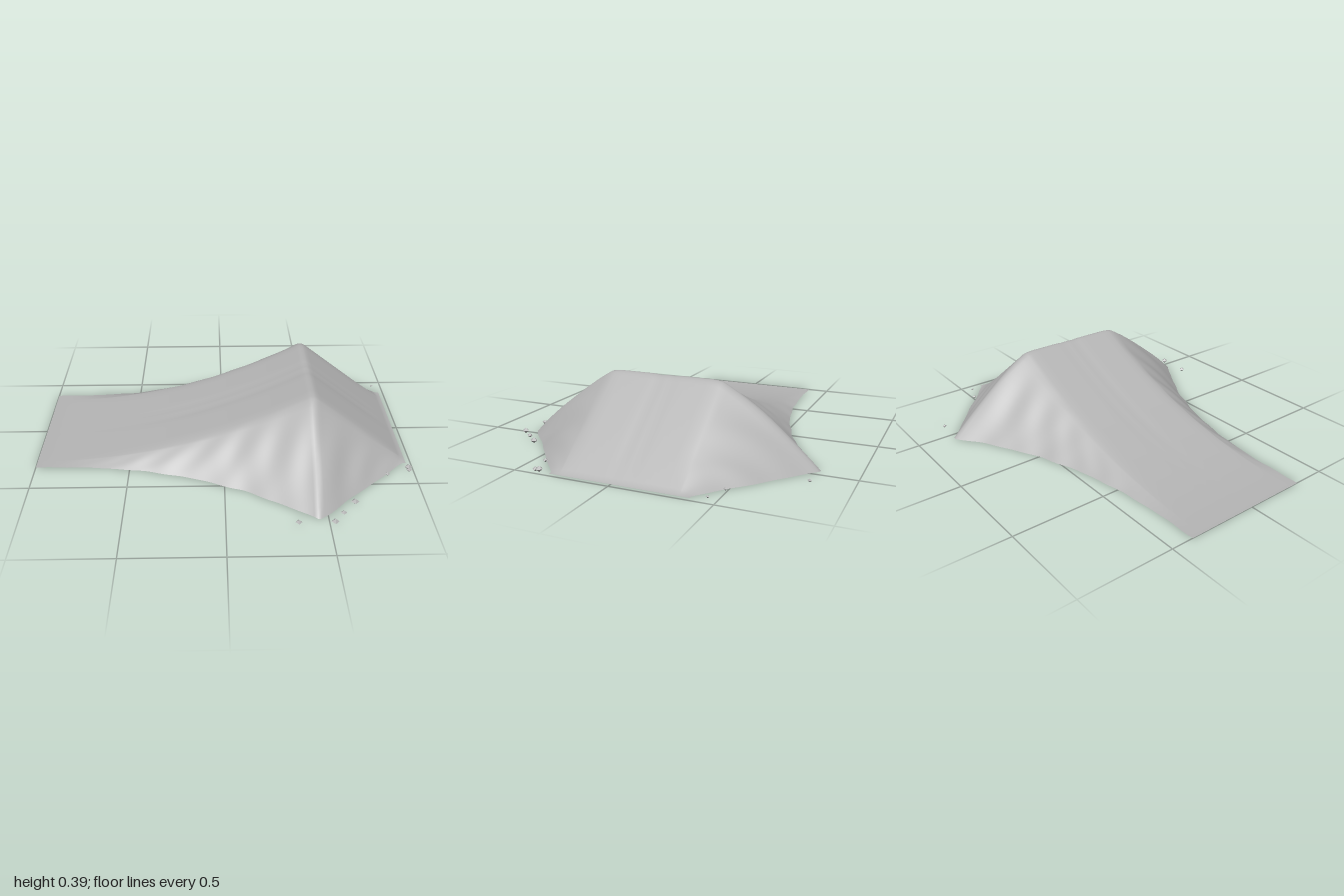
import * as THREE from 'three';

const CREST = 0.455, X0 = -1, X1 = 0.975, MID = -0.025, TOP = 0.3;

// Height along the ramp: a curved run-up, a straight landing, a softly rounded crest
function height(x) {
  const up = 0.388 * ((x + 1) / 1.45) ** 2;
  const down = 0.38 - (x - 0.48) * 0.785;
  const k = 0.03, m = Math.max(k - Math.abs(up - down), 0) / k;
  return Math.max(Math.min(up, down) - m * m * k * 0.25, 0);
}

// Half width of the footprint, widest under the crest
function baseHalf(x, side) {
  const t = x < CREST ? ((x + 1) / (CREST + 1)) ** 2.5 : Math.max((0.955 - x) / (0.955 - CREST), 0);
  const wobble = 0.003 * Math.sin(x * 37 + side) + 0.004 * Math.sin(x * 23 + side * 2);
  return 0.355 + 0.435 * t + wobble * Math.min(1, 0.4 + t);
}

// Share of the height left at fraction f of the side bank, from shoulder to foot
function bank(f) {
  return 1 - 0.72 * f - 0.28 * f * f;
}

function gridGeometry(rows, cols, point, flip) {
  const pos = [], index = [];
  for (let i = 0; i <= rows; i++)
    for (let j = 0; j <= cols; j++) pos.push(...point(i, j));
  for (let i = 0; i < rows; i++)
    for (let j = 0; j < cols; j++) {
      const a = i * (cols + 1) + j, b = a + 1, c = a + cols + 1, d = c + 1;
      if (flip) index.push(a, c, b, b, c, d);
      else index.push(a, b, c, b, d, c);
    }
  const g = new THREE.BufferGeometry();
  g.setAttribute('position', new THREE.Float32BufferAttribute(pos, 3));
  g.setIndex(index);
  g.computeVertexNormals();
  return g;
}

export function createModel() {
  const group = new THREE.Group();
  const earth = new THREE.MeshStandardMaterial({ color: 0xb4b4b4 });
  earth.name = 'grey earth';
  const add = (name, geometry) => {
    const mesh = new THREE.Mesh(geometry, earth);
    mesh.name = name;
    group.add(mesh);
    return mesh;
  };

  // Mound surface: back bank, riding surface, front bank
  const rows = 120, bankCols = 12, topCols = 24, cols = bankCols * 2 + topCols;
  const xAt = i => X0 + (X1 - X0) * i / rows;
  add('rampSurface', gridGeometry(rows, cols, (i, j) => {
    const x = xAt(i), h = height(x);
    if (j >= bankCols && j <= bankCols + topCols) {
      const s = (j - bankCols) / topCols * 2 - 1;
      // Shallow worn tracks along the middle
      const rut = 0.004 * Math.exp(-(((s - 0.08) / 0.09) ** 2)) + 0.003 * Math.exp(-(((s + 0.15) / 0.08) ** 2));
      const edge = 0.006 * Math.max(Math.abs(s) - 0.85, 0) / 0.15;
      return [x, Math.max(h - (rut + edge) * Math.min(1, h * 8), 0), MID + s * TOP];
    }
    const side = j < bankCols ? -1 : 1;
    const f = side < 0 ? 1 - j / bankCols : (j - bankCols - topCols) / bankCols;
    const lump = 0.005 * Math.sin(x * 31 + f * 5 + side) * Math.sin(f * Math.PI) * Math.min(1, h * 5);
    const z = MID + side * (TOP + (baseHalf(x, side) - TOP) * f);
    const y = f === 1 ? 0 : Math.max(h * bank(f) - 0.006 * Math.min(1, h * 8) * (1 - f) + lump, 0);
    return [x, y, z];
  }));

  // Flat underside
  add('underside', gridGeometry(rows, 1, (i, j) => {
    const x = xAt(i), side = j ? 1 : -1;
    return [x, 0, MID + side * baseHalf(x, side)];
  }, true));

  // Loose clods scattered around the foot: x, z, radius
  const clods = [
    [0.605, -0.8, 0.012], [0.84, -0.49, 0.011], [0.945, -0.45, 0.009],
    [0.975, 0.38, 0.02], [0.975, 0.4, 0.016], [0.855, 0.43, 0.013],
    [0.645, 0.65, 0.021], [0.577, 0.725, 0.016], [0.525, 0.79, 0.02], [0.35, 0.79, 0.017],
  ];
  const clodShape = new THREE.OctahedronGeometry(1);
  for (const [x, z, r] of clods) {
    const clod = add('clod', clodShape);
    clod.position.set(x, r * 0.75, z);
    clod.scale.set(r, r * 0.75, r);
  }
  return group;
}
